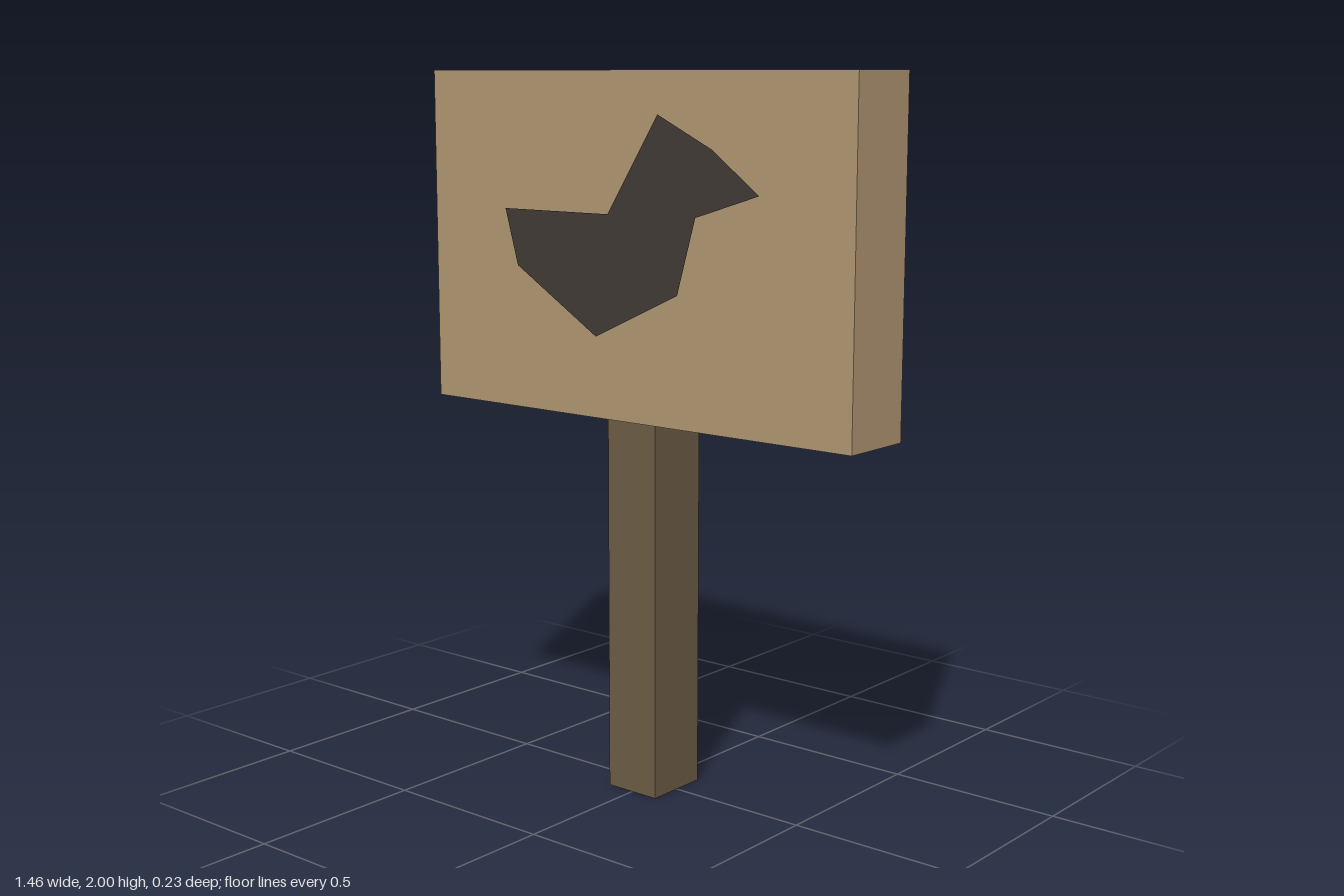
import * as THREE from 'three';

const material = (name, color) => {
  const m = new THREE.MeshStandardMaterial({ color });
  m.name = name;
  return m;
};

export function createModel() {
  const model = new THREE.Group();
  model.name = 'birdSign';

  const lightWood = material('lightWood', 0xb09672);
  const darkWood = material('darkWood', 0x6c5c45);
  const charcoal = material('charcoal', 0x403a35);

  const add = (name, geometry, mat, x, y, z) => {
    const mesh = new THREE.Mesh(geometry, mat);
    mesh.name = name;
    mesh.position.set(x, y, z);
    model.add(mesh);
  };

  // Square post, ending under the board
  add('post', new THREE.BoxGeometry(0.168, 1.06, 0.19), darkWood, 0, 0.53, 0);

  // Sign board
  add('board', new THREE.BoxGeometry(1.456, 0.94, 0.223), lightWood, 0, 1.53, -0.0035);

  // Flat bird silhouette painted on the front face
  const outline = [
    [-0.445, 1.62], [-0.4, 1.463], [-0.11, 1.286], [0.175, 1.418], [0.235, 1.624],
    [0.44, 1.688], [0.288, 1.8], [0.108, 1.886], [-0.066, 1.62],
  ].map(([x, y]) => new THREE.Vector2(x, y));
  add('birdSilhouette', new THREE.ShapeGeometry(new THREE.Shape(outline)), charcoal, 0, 0, 0.115);

  return model;
}
